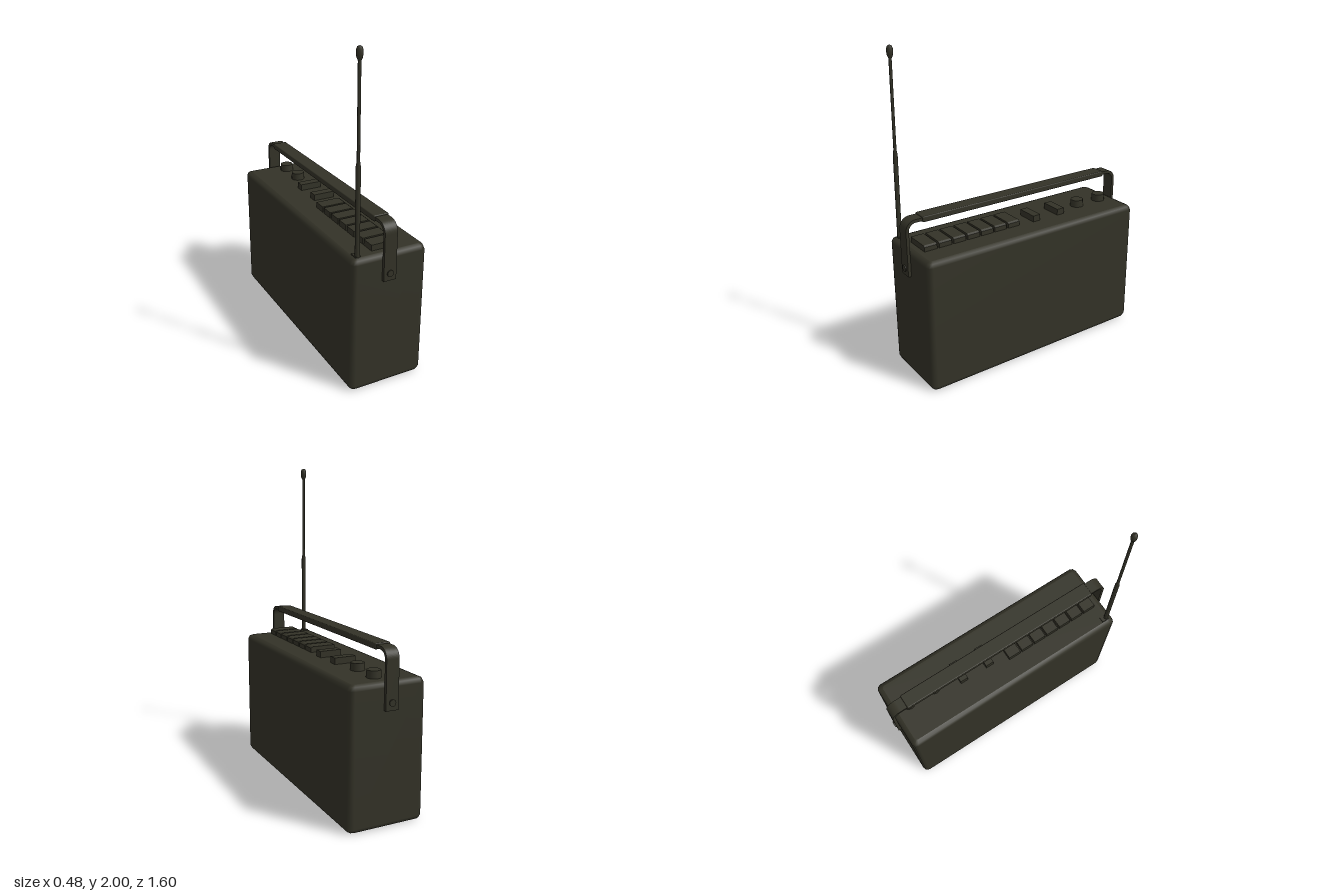
import * as THREE from 'three';
import { RoundedBoxGeometry } from 'three/addons/geometries/RoundedBoxGeometry.js';

const W = 0.24, H = 0.85, D = 0.775, R = 0.032;

// Closed outline with rounded corners, as [x, z] points
function outline(inset) {
  const pts = [], r = Math.max(R - inset * 0.5, 0.005), w = W - inset - r, d = D - inset - r;
  [[1, 1], [-1, 1], [-1, -1], [1, -1]].forEach(([sx, sz], c) => {
    for (let k = 0; k <= 2; k++) {
      const a = (c + k / 2) * Math.PI / 2;
      pts.push([sx * w + r * Math.cos(a), sz * d + r * Math.sin(a)]);
    }
  });
  return pts;
}

// Side wall of the case: stacked outlines with softened top and bottom edges
function caseWall() {
  const k = R * (1 - Math.SQRT1_2);
  const rings = [[0, R], [k, k], [R, 0], [H - R, 0], [H - k, k], [H, R]];
  const pos = [], idx = [], n = outline(0).length;
  rings.forEach(([y, inset]) => outline(inset).forEach(([x, z]) => pos.push(x, y, z)));
  for (let i = 0; i < rings.length - 1; i++) {
    for (let j = 0; j < n; j++) {
      const a = i * n + j, b = i * n + (j + 1) % n;
      idx.push(a, a + n, b, b, a + n, b + n);
    }
  }
  const g = new THREE.BufferGeometry();
  g.setAttribute('position', new THREE.Float32BufferAttribute(pos, 3));
  g.setIndex(idx);
  g.computeVertexNormals();
  return g;
}

// Box seen from inside, for the recess
function insideBox(w, h, d) {
  const g = new THREE.BoxGeometry(w, h, d);
  g.setIndex(Array.from(g.index.array).reverse());
  const n = g.attributes.normal;
  for (let i = 0; i < n.count; i++) n.setXYZ(i, -n.getX(i), -n.getY(i), -n.getZ(i));
  return g;
}

export function createModel() {
  const model = new THREE.Group();
  model.name = 'portableRadio';
  const olive = new THREE.MeshStandardMaterial({ color: 0x333227 });
  olive.name = 'dark olive';

  function add(name, geo, x = 0, y = 0, z = 0, parent = model) {
    const m = new THREE.Mesh(geo, olive);
    m.name = name;
    m.position.set(x, y, z);
    parent.add(m);
    return m;
  }

  // Case
  add('caseWall', caseWall());
  const capShape = () => new THREE.Shape(outline(R).map(([x, z]) => new THREE.Vector2(x, -z)));
  const top = capShape();
  const gx0 = -0.207, gx1 = -0.17, gz = 0.742;
  top.holes.push(new THREE.Path([[gx0, -gz], [gx1, -gz], [gx1, gz], [gx0, gz]].map(p => new THREE.Vector2(...p))));
  add('caseTop', new THREE.ShapeGeometry(top).rotateX(-Math.PI / 2), 0, H, 0);
  add('caseBottom', new THREE.ShapeGeometry(capShape()).rotateX(Math.PI / 2));

  // Recess that holds the folded aerial
  add('aerialRecess', insideBox(gx1 - gx0, 0.03, gz * 2), (gx0 + gx1) / 2, H - 0.015, 0);

  // Carrying handle: bent strap, grip and pivot screws
  const handle = new THREE.Group();
  handle.name = 'handle';
  model.add(handle);
  const zo = 0.794, zi = 0.775, yo = 1.04, yi = 1.021, r = 0.065, ri = 0.046, y0 = 0.69;
  const s = new THREE.Shape();
  s.moveTo(zo, y0);
  s.lineTo(zo, yo - r);
  s.absarc(zo - r, yo - r, r, 0, Math.PI / 2);
  s.lineTo(-zo + r, yo);
  s.absarc(-zo + r, yo - r, r, Math.PI / 2, Math.PI);
  s.lineTo(-zo, y0);
  s.lineTo(-zi, y0);
  s.lineTo(-zi, yi - ri);
  s.absarc(-zi + ri, yi - ri, ri, Math.PI, Math.PI / 2, true);
  s.lineTo(zi - ri, yi);
  s.absarc(zi - ri, yi - ri, ri, Math.PI / 2, 0, true);
  s.lineTo(zi, y0);
  const strap = new THREE.ExtrudeGeometry(s, { depth: 0.08, bevelEnabled: false, curveSegments: 8 });
  strap.translate(0, 0, -0.04).rotateY(-Math.PI / 2);
  add('strap', strap, -0.012, 0, 0, handle);
  add('grip', new RoundedBoxGeometry(0.094, 0.036, 1.37, 2, 0.006), -0.012, 1.03, 0, handle);
  for (const side of [1, -1]) {
    const screw = new THREE.CylinderGeometry(0.02, 0.02, 0.012, 16).rotateX(Math.PI / 2);
    add('pivotScrew', screw, -0.012, 0.735, side * 0.795, handle);
  }

  // Row of seven push keys with a sloped outer edge
  const keyShape = new THREE.Shape([[-0.085, -0.01], [0.08, -0.01], [0.08, 0.028], [0.068, 0.036], [-0.085, 0.036]]
    .map(p => new THREE.Vector2(...p)));
  for (let i = 0; i < 7; i++) {
    const key = new THREE.ExtrudeGeometry(keyShape, { depth: 0.084, bevelEnabled: false });
    add('pushKey', key, 0, H, 0.038 + i * 0.0978);
  }

  // Two slider caps
  for (const z of [-0.09, -0.282]) {
    add('sliderCap', new THREE.BoxGeometry(0.14, 0.05, 0.054), 0.02, H + 0.015, z);
  }

  // Two rotary knobs
  for (const z of [-0.47, -0.655]) {
    add('rotaryKnob', new THREE.CylinderGeometry(0.041, 0.045, 0.055, 12), 0.026, H + 0.0175, z);
  }

  // Telescopic aerial, leaning very slightly
  const aerial = new THREE.Group();
  aerial.name = 'aerial';
  aerial.position.set(-0.188, 0.83, 0.732);
  aerial.rotation.x = -0.01;
  model.add(aerial);
  add('aerialPivot', new THREE.BoxGeometry(0.034, 0.04, 0.045), -0.188, H - 0.013, 0.718);
  const profile = [[0, 0], [0.014, 0], [0.014, 0.54], [0.009, 0.57], [0.009, 1.1]]
    .map(p => new THREE.Vector2(...p));
  add('aerialRod', new THREE.LatheGeometry(profile, 12), 0, 0, 0, aerial);
  const tip = [[0.009, 1.095], [0.016, 1.11], [0.019, 1.13], [0.018, 1.152], [0.012, 1.165], [0, 1.17]]
    .map(p => new THREE.Vector2(...p));
  add('aerialTip', new THREE.LatheGeometry(tip, 12), 0, 0, 0, aerial);

  return model;
}
